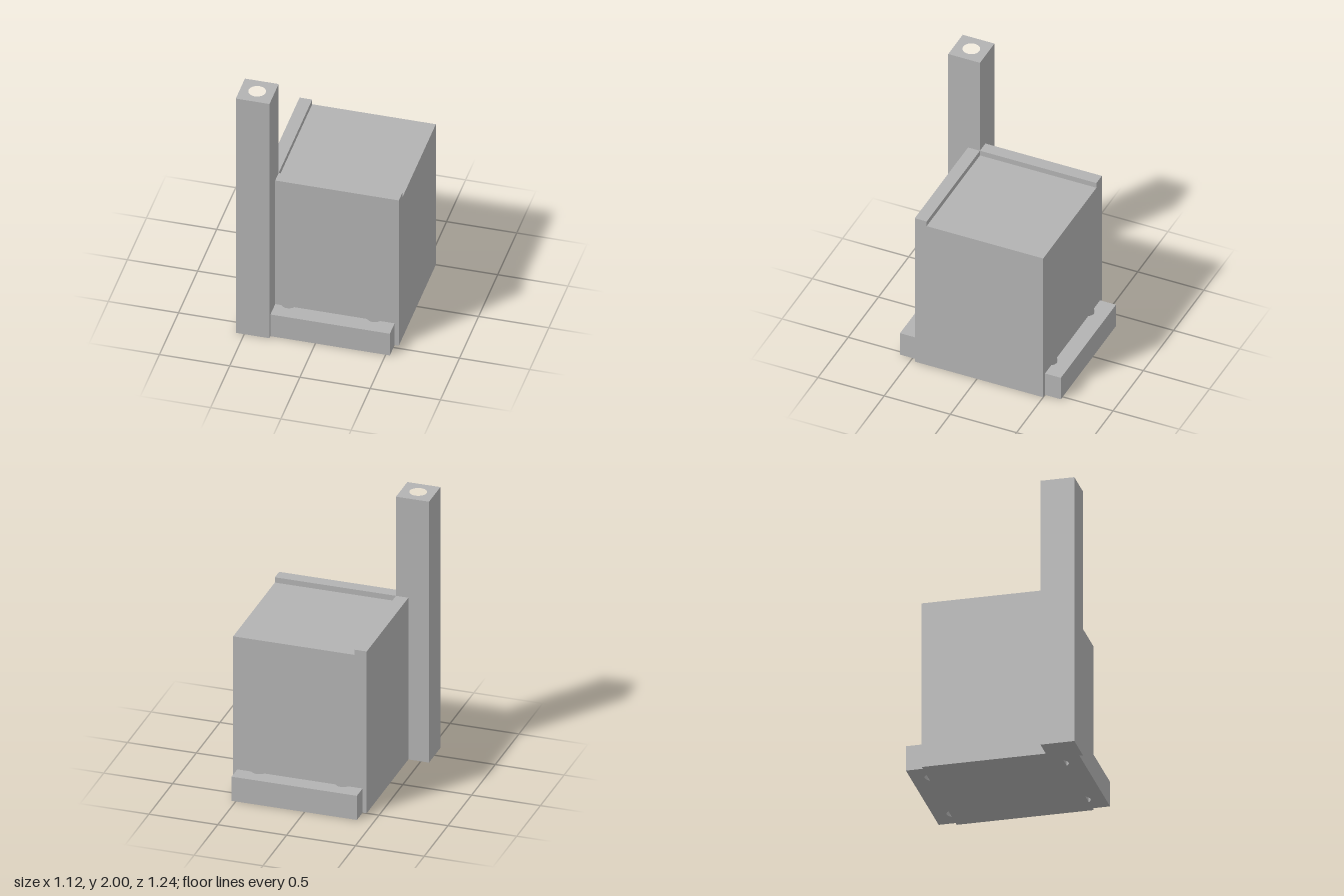
import * as THREE from 'three';

const grey = new THREE.MeshStandardMaterial({ color: 0xb2b2b2 });
grey.name = 'plain grey';

// Upright prism from a footprint of [x, z] points, with optional round hole
function prism(name, points, y0, y1, hole) {
  const shape = new THREE.Shape(points.map(([x, z]) => new THREE.Vector2(x, -z)));
  if (hole) {
    shape.holes.push(new THREE.Path().absarc(hole.x, -hole.z, hole.r, 0, Math.PI * 2, true));
  }
  const geometry = new THREE.ExtrudeGeometry(shape, { depth: y1 - y0, bevelEnabled: false, curveSegments: 32 });
  geometry.rotateX(-Math.PI / 2).translate(0, y0, 0);
  const mesh = new THREE.Mesh(geometry, grey);
  mesh.name = name;
  return mesh;
}

const rect = (x0, x1, z0, z1) => [[x0, z0], [x1, z0], [x1, z1], [x0, z1]];

// Mounting foot along one wall, with a round screw notch at each hole position
function foot(name, x0, wallZ, outerZ) {
  const side = Math.sign(wallZ), r = 0.055, inset = 0.03;
  const half = Math.acos(inset / r);
  const points = [[x0, wallZ]];
  for (const cx of [-0.23, 0.38]) {
    for (let i = 0; i <= 12; i++) {
      const t = half * (i / 6 - 1);
      points.push([cx + r * Math.sin(t), wallZ + side * (r * Math.cos(t) - inset)]);
    }
  }
  points.push([0.53, wallZ], [0.53, outerZ], [x0, outerZ]);
  return prism(name, points, 0, 0.185, null);
}

export function createModel() {
  const model = new THREE.Group();
  model.name = 'boxWithPost';

  // Box, with its corner cut away where the post stands
  model.add(prism('box', [
    [-0.41, -0.5], [0.56, -0.5], [0.56, 0.47], [-0.32, 0.47], [-0.32, 0.38], [-0.41, 0.38],
  ], 0, 1.2));

  // Raised rims along two edges of the top
  model.add(prism('sideRim', rect(-0.41, -0.32, -0.5, 0.38), 1.2, 1.24));
  model.add(prism('frontRim', rect(-0.32, 0.56, 0.38, 0.47), 1.2, 1.24));

  // Feet at front and back
  model.add(foot('frontFoot', -0.32, 0.47, 0.595));
  model.add(foot('backFoot', -0.38, -0.5, -0.62));

  // Corner post with a blind bore in its top
  const footprint = rect(-0.56, -0.32, 0.38, 0.62);
  model.add(prism('post', footprint, 0, 1.7));
  model.add(prism('postSocket', footprint, 1.7, 2, { x: -0.44, z: 0.5, r: 0.061 }));

  return model;
}
